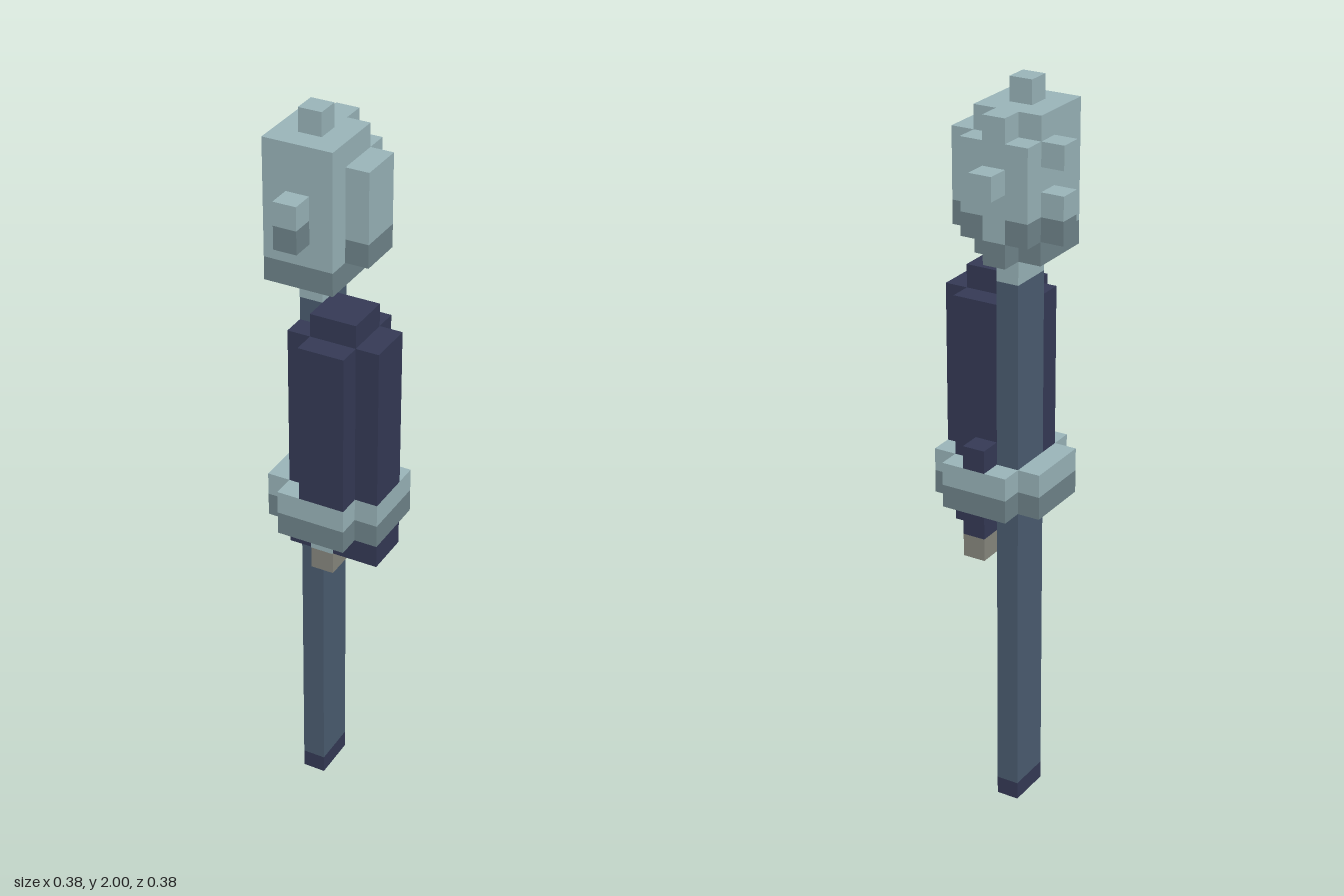
import * as THREE from 'three';

const U = 1 / 16; // edge of one block

const mat = (name, color) => {
  const m = new THREE.MeshStandardMaterial({ color });
  m.name = name;
  return m;
};

export function createModel() {
  const pale = mat('pale teal', 0x9ab5ba);
  const grey = mat('slate grey', 0x70858b);
  const navy = mat('navy', 0x353a56);
  const steel = mat('steel blue', 0x4b5d71);
  const tan = mat('warm grey', 0x88887f);

  const model = new THREE.Group();
  const section = (name) => {
    const g = new THREE.Group();
    g.name = name;
    model.add(g);
    return g;
  };

  // Box from its lower and upper bounds, in blocks
  const block = (parent, name, material, x0, x1, y0, y1, z0, z1) => {
    const geo = new THREE.BoxGeometry((x1 - x0) * U, (y1 - y0) * U, (z1 - z0) * U);
    geo.translate((x0 + x1) * U / 2, (y0 + y1) * U / 2, (z0 + z1) * U / 2);
    const mesh = new THREE.Mesh(geo, material);
    mesh.name = name;
    parent.add(mesh);
  };

  // Pale block whose lowest layer is grey
  const twoTone = (parent, name, x0, x1, y0, y1, z0, z1) => {
    block(parent, name + 'Base', grey, x0, x1, y0, y0 + 1, z0, z1);
    block(parent, name, pale, x0, x1, y0 + 1, y1, z0, z1);
  };

  // Pole with dark foot and pale neck
  const pole = section('pole');
  block(pole, 'foot', navy, -1, 0, 0, 0.8, -1, 1);
  block(pole, 'shaft', steel, -1, 0, 0.8, 24, -1, 1);
  block(pole, 'neck', pale, -1, 0, 24, 25, -1, 1);

  // Head and the pieces around it
  const head = section('head');
  twoTone(head, 'skull', -2, 1, 25, 31, -1, 2);
  twoTone(head, 'backRidge', -1, 0, 25, 31, -2, -1);
  twoTone(head, 'backPlateRight', -2, -1, 26, 30, -2, -1);
  twoTone(head, 'backPlateLeft', 0, 1, 26, 30, -2, -1);
  twoTone(head, 'sidePlate', 1, 2, 26, 30, -1, 1);
  twoTone(head, 'frontKnob', -1, 0, 27, 29, 2, 3);
  twoTone(head, 'lowerSideKnob', -3, -2, 26, 28, -1, 0);
  block(head, 'upperSideKnob', pale, -3, -2, 29, 30, -1, 0);
  block(head, 'backKnob', pale, -1, 0, 28, 29, -3, -2);
  block(head, 'topKnob', pale, -1, 0, 31, 32, 0, 1);

  // Rounded bundle beside the pole
  const bundle = section('bundle');
  block(bundle, 'core', navy, 0, 2, 16, 24, 0, 2);
  for (const [x0, x1, z0, z1] of [[-1, 0, 1, 2], [0, 2, 2, 3], [2, 3, 0, 2], [0, 2, -1, 0]]) {
    block(bundle, 'bundleSide', navy, x0, x1, 16, 23, z0, z1);
  }
  block(bundle, 'buckle', navy, 0, 1, 16, 17, -2, -1);
  for (const [x0, x1, z0, z1] of [[-1, 0, 1, 2], [0, 2, -1, 2], [2, 3, 0, 2], [0, 1, -2, -1]]) {
    block(bundle, 'bundleBottom', navy, x0, x1, 13, 14, z0, z1);
  }
  block(bundle, 'frontTab', pale, 0, 1, 13, 14, 2, 2.05);
  block(bundle, 'keel', tan, 0, 1, 12, 13, -2, 2);

  // Strap wrapping pole and bundle
  const strap = section('strap');
  for (const [x0, x1, z0, z1] of [[-1, 2, -2, 3], [-2, -1, -1, 2], [2, 3, -1, 2]]) {
    twoTone(strap, 'strapBand', x0, x1, 14, 16, z0, z1);
  }

  return model;
}
